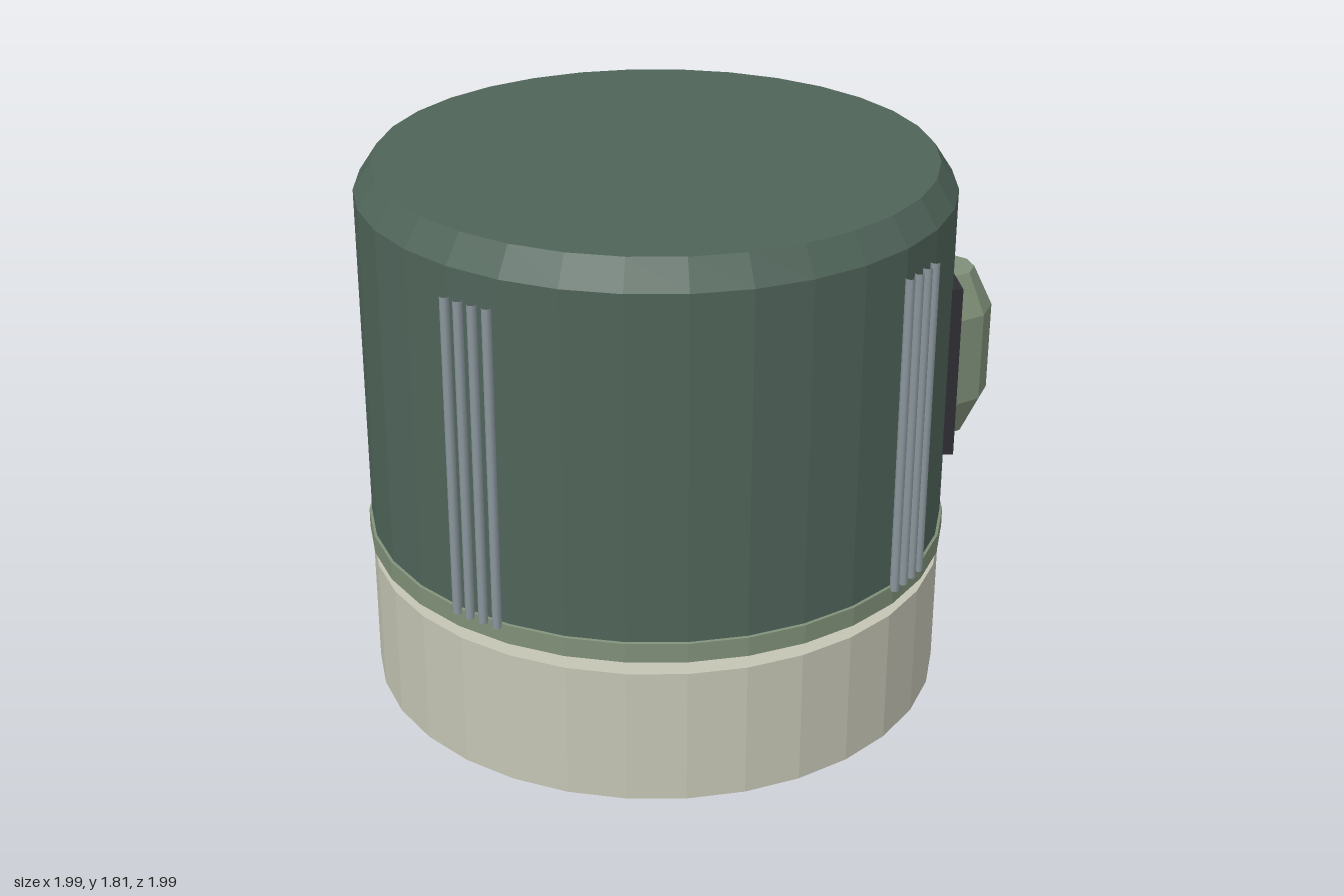
import * as THREE from 'three';

const mat = (name, color) => {
  const m = new THREE.MeshStandardMaterial({ color });
  m.name = name;
  return m;
};

// Faceted solid of revolution from [radius, y] points, bottom to top
function facetedLathe(points, sides) {
  const smooth = new THREE.LatheGeometry(points.map(([r, y]) => new THREE.Vector2(r, y)), sides);
  const geometry = smooth.toNonIndexed();
  geometry.computeVertexNormals();
  return geometry;
}

export function createModel() {
  const darkGreen = mat('dark green', 0x4f6459);
  const lightGreen = mat('light green', 0x7f8f78);
  const cream = mat('cream', 0xc4c4b4);
  const charcoal = mat('charcoal', 0x2e2d33);
  const steel = mat('steel', 0x8a969c);
  const black = mat('black', 0x1a1a1c);

  const model = new THREE.Group();
  const add = (name, geometry, material, parent = model) => {
    const mesh = new THREE.Mesh(geometry, material);
    mesh.name = name;
    parent.add(mesh);
    return mesh;
  };

  // Base drum with a dark socket disc underneath
  add('base', facetedLathe([[0, 0], [0.967, 0], [0.967, 0.46], [0, 0.46]], 32), cream);
  const socket = add('baseSocket', new THREE.CircleGeometry(0.385, 32), black);
  socket.rotation.x = Math.PI / 2;
  socket.position.y = -0.002;

  // Main body, chamfered at both ends, with a thin collar
  add('body', facetedLathe([
    [0, 0.462], [0.88, 0.462], [0.967, 0.505], [0.967, 1.72], [0.907, 1.81], [0, 1.81],
  ], 32), darkGreen);
  add('collar', facetedLathe([
    [0.96, 0.505], [0.976, 0.508], [0.976, 0.573], [0.96, 0.576],
  ], 32), lightGreen);

  // Four sets of four vertical ribs, open-ended
  const ribGeometry = new THREE.CylinderGeometry(0.015, 0.015, 1.07, 8, 1, true);
  for (let side = 0; side < 4; side++) {
    const ribs = new THREE.Group();
    ribs.name = 'ribSet';
    ribs.rotation.y = side * Math.PI / 2;
    model.add(ribs);
    for (let i = 0; i < 4; i++) {
      const angle = i * 0.0535;
      const rib = add('rib', ribGeometry, steel, ribs);
      rib.position.set(0.98 * Math.sin(angle), 1.095, 0.98 * Math.cos(angle));
    }
  }

  // Two pods on backing plates, front left and back left
  const plateGeometry = new THREE.BoxGeometry(0.44, 0.595, 0.042);
  const podGeometry = facetedLathe([
    [0, 0.81], [0.105, 0.81], [0.17, 0.948], [0.17, 1.25], [0.105, 1.385], [0, 1.385],
  ], 10);
  for (const z of [0.675, -0.675]) {
    const plate = add('podPlate', plateGeometry, charcoal);
    plate.position.set(0.675, 1.09, z);
    plate.rotation.y = Math.atan2(0.675, z);
    add('pod', podGeometry, lightGreen).position.set(0.675, 0, z);
  }

  return model;
}
